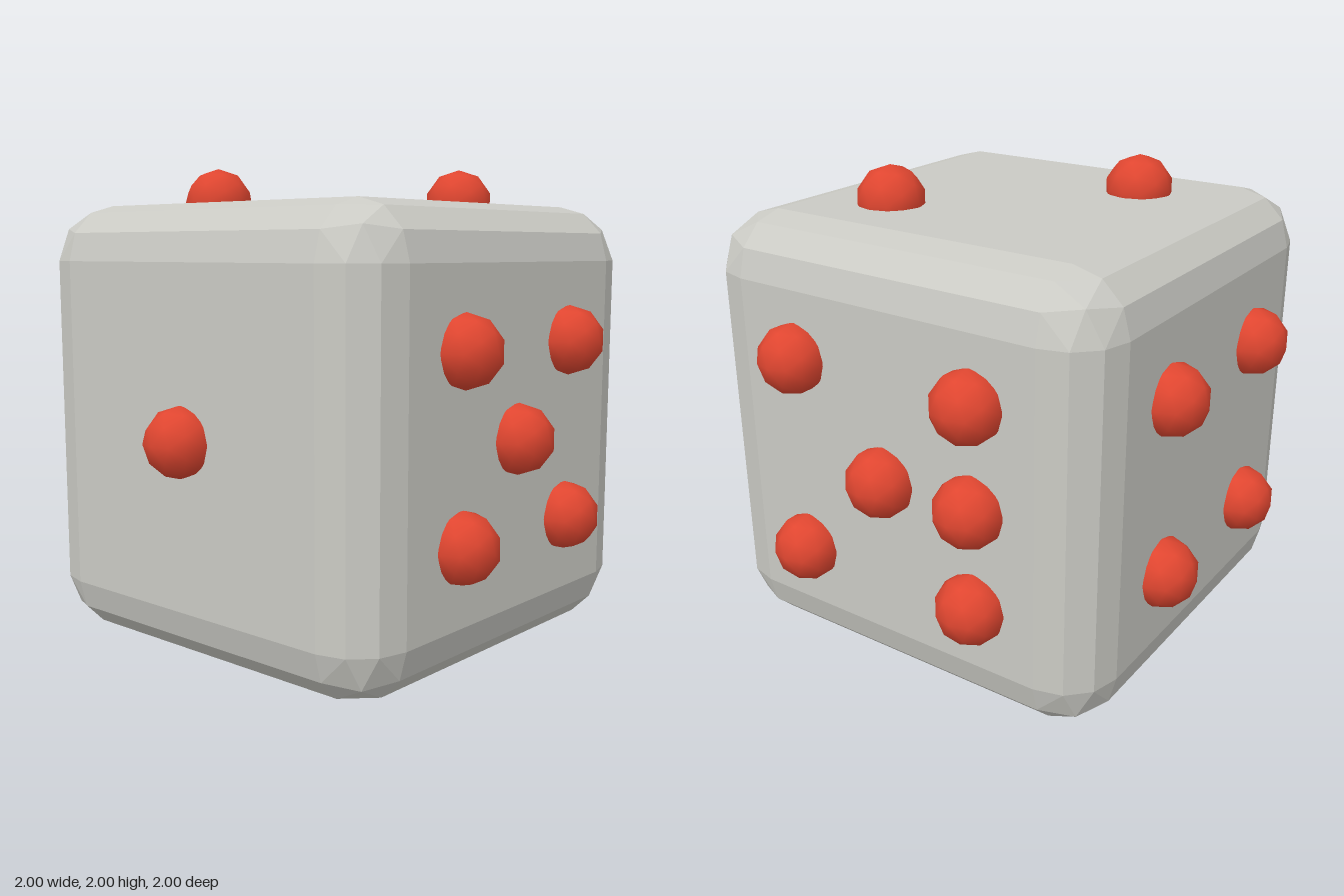
import * as THREE from 'three';
import { ConvexGeometry } from 'three/addons/geometries/ConvexGeometry.js';

const HALF = 0.853;    // half width of the cube
const BEVEL = 0.215;   // radius of the rounded edges
const PIP_R = 0.133;
const PIP_OUT = 0.866; // distance of pip centres from the cube's centre

// Cube with three-step rounded edges and corners
function roundedCube() {
  const points = [];
  const step = (n) => Math.sin((n * Math.PI) / 6);
  for (const sx of [-1, 1]) for (const sy of [-1, 1]) for (const sz of [-1, 1]) {
    for (let i = 0; i <= 3; i++) for (let j = 0; j <= 3 - i; j++) {
      const p = new THREE.Vector3(step(i), step(j), step(3 - i - j));
      p.setLength(BEVEL).addScalar(HALF - BEVEL);
      points.push(p.multiply(new THREE.Vector3(sx, sy, sz)));
    }
  }
  return new ConvexGeometry(points);
}

export function createModel() {
  const bodyMat = new THREE.MeshStandardMaterial({ color: 0xcacac4 });
  bodyMat.name = 'light grey';
  bodyMat.flatShading = true;
  const pipMat = new THREE.MeshStandardMaterial({ color: 0xe04630 });
  pipMat.name = 'red';

  const die = new THREE.Group();
  die.name = 'die';
  die.position.y = 1.001;

  const body = new THREE.Mesh(roundedCube(), bodyMat);
  body.name = 'body';
  die.add(body);

  // Pips on each face as pairs of in-face coordinates
  const a = 0.341, b = 0.387, d = PIP_OUT;
  const square = [[-a, -a], [a, -a], [-a, a], [a, a]];
  const faces = {
    front: { at: (u, v) => [u, v, d], pips: [...square, [0, 0]] },
    back: { at: (u, v) => [u, v, -d], pips: square },
    left: { at: (u, v) => [d, v, u], pips: [[-b, -b], [-b, 0], [-b, b], [0, 0], [b, -b], [b, b]] },
    right: { at: (u, v) => [-d, v, u], pips: [[0, 0]] },
    top: { at: (u, v) => [u, d, v], pips: [[-a, -a], [a, a]] },
    bottom: { at: (u, v) => [u, -d, v], pips: [[-a, -a], [0, 0], [a, a]] },
  };

  const pipGeo = new THREE.IcosahedronGeometry(PIP_R, 1);
  for (const [name, { at, pips }] of Object.entries(faces)) {
    const group = new THREE.Group();
    group.name = name + 'Pips';
    for (const [u, v] of pips) {
      const pip = new THREE.Mesh(pipGeo, pipMat);
      pip.name = 'pip';
      pip.position.set(...at(u, v));
      group.add(pip);
    }
    die.add(group);
  }

  const model = new THREE.Group();
  model.name = 'model';
  model.add(die);
  return model;
}
